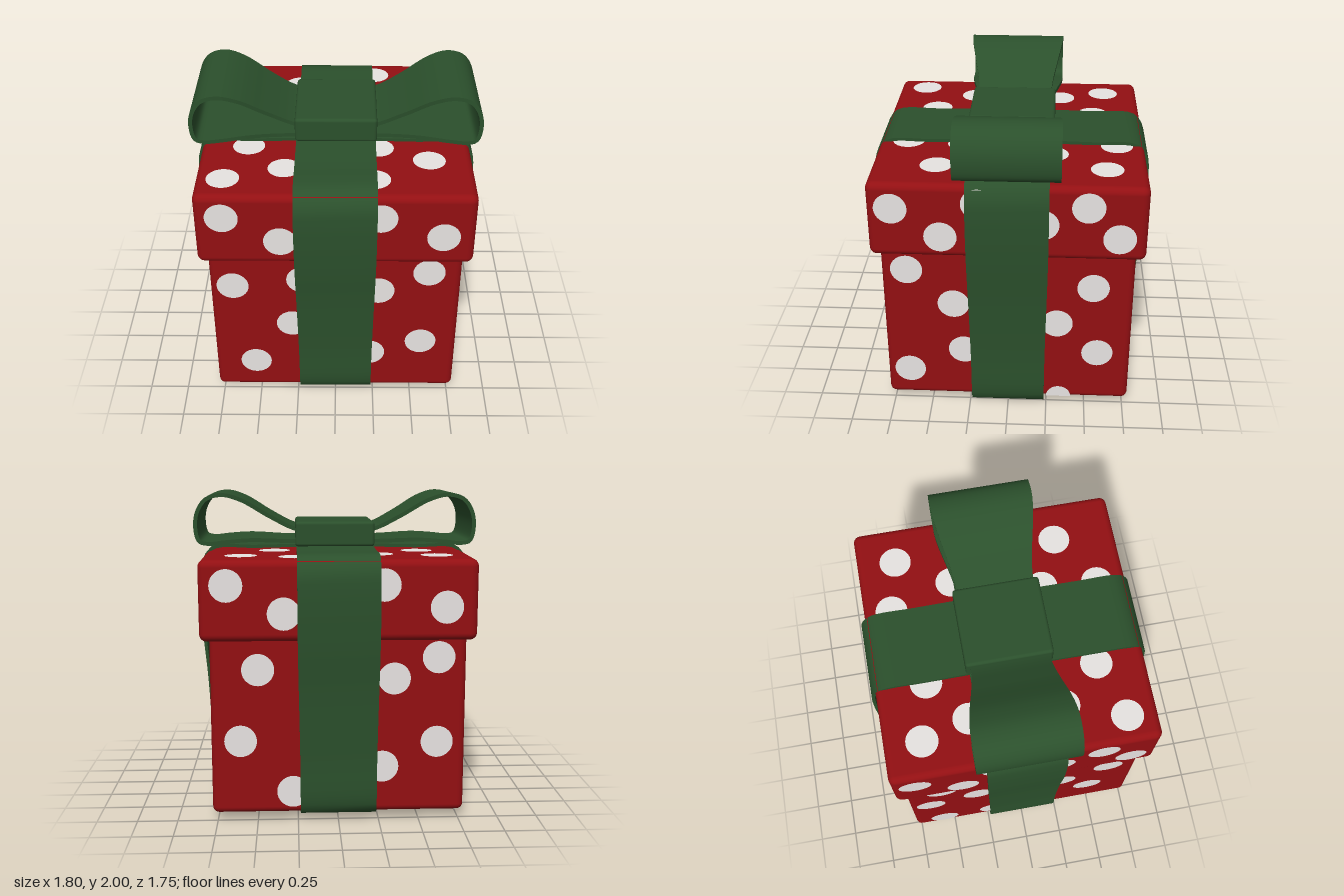
import * as THREE from 'three';
import { RoundedBoxGeometry } from 'three/addons/geometries/RoundedBoxGeometry.js';
import { toCreasedNormals } from 'three/addons/utils/BufferGeometryUtils.js';

const mat = (name, color) => {
  const m = new THREE.MeshStandardMaterial({ color });
  m.name = name;
  return m;
};

// Sweeps a flat ribbon along a counter-clockwise path in the xy plane; its width runs along z.
function ribbonGeometry(points, closed, thickness, halfWidth, steps) {
  const curve = new THREE.CatmullRomCurve3(points.map(([x, y]) => new THREE.Vector3(x, y, 0)), closed, 'centripetal');
  const positions = [], index = [];
  for (let i = 0; i <= steps; i++) {
    const p = curve.getPointAt(i / steps);
    const t = curve.getTangentAt(i / steps);
    const nx = t.y * thickness / 2, ny = -t.x * thickness / 2;
    const w = halfWidth(p.x, p.y);
    for (const [side, z] of [[1, w], [1, -w], [-1, -w], [-1, w]]) {
      positions.push(p.x + side * nx, p.y + side * ny, z);
    }
    if (i === steps) break;
    for (let k = 0; k < 4; k++) {
      const a = i * 4 + k, b = i * 4 + (k + 1) % 4;
      index.push(a, b, b + 4, a, b + 4, a + 4);
    }
  }
  const g = new THREE.BufferGeometry();
  g.setAttribute('position', new THREE.Float32BufferAttribute(positions, 3));
  g.setIndex(index);
  return toCreasedNormals(g, 0.8);
}

export function createModel() {
  const model = new THREE.Group();
  model.name = 'giftBox';
  const red = mat('red paper', 0x930f12);
  const white = mat('white dots', 0xf4f0ee);
  const green = mat('green ribbon', 0x2b502c);

  const add = (name, geometry, material, parent = model) => {
    const mesh = new THREE.Mesh(geometry, material);
    mesh.name = name;
    parent.add(mesh);
    return mesh;
  };

  // Box and lid
  add('box', new RoundedBoxGeometry(1.56, 1.15, 1.56, 4, 0.04), red).position.y = 0.625;
  add('lid', new RoundedBoxGeometry(1.67, 0.49, 1.67, 4, 0.045), red).position.y = 1.385;

  // Polka dots: each face is a group whose local xy plane lies just above the paper
  const disc = new THREE.CircleGeometry(0.1, 28);
  const dots = (name, list, distance, rotY, rotX = 0, height = 0) => {
    const face = new THREE.Group();
    face.name = name;
    face.rotation.set(rotX, rotY, 0);
    for (const [u, v] of list) add('dot', disc, white, face).position.set(u, v, distance);
    face.position.y = height;
    model.add(face);
    return face;
  };
  const Q = Math.PI / 2;
  const lidFront = [[-0.67, 1.48], [-0.33, 1.31], [0.27, 1.48], [0.645, 1.345]];
  const lidSide = [[-0.69, 1.47], [-0.4, 1.285], [-0.175, 1.51], [0.21, 1.38], [0.48, 1.5], [0.67, 1.295]];
  const LID = 0.838, BOX = 0.783;
  dots('lidFrontDots', lidFront, LID, 0);
  dots('lidBackDots', lidFront, LID, Math.PI);
  dots('lidLeftDots', lidSide, LID, Q);
  dots('lidRightDots', lidSide, LID, -Q);
  dots('boxFrontDots', [[-0.64, 0.92], [-0.205, 0.97], [-0.275, 0.61], [-0.52, 0.28],
    [0.58, 1.03], [0.27, 0.885], [0.55, 0.46], [0.22, 0.36]], BOX, 0);
  dots('boxBackDots', [[-0.49, 0.96], [-0.6, 0.515], [-0.28, 0.19], [0.34, 0.9],
    [0.605, 0.5], [0.27, 0.345], [0.61, 1.03]], BOX, Math.PI);
  const leftDots = dots('boxLeftDots', [[-0.625, 1.015], [-0.34, 0.77], [-0.28, 0.42], [-0.635, 0.255],
    [0.53, 0.91], [0.31, 0.64], [0.57, 0.42]], BOX, Q);
  add('edgeDot', new THREE.CircleGeometry(0.08, 20, 0, Math.PI), white, leftDots).position.set(0.33, 0.06, BOX);
  dots('boxRightDots', [[-0.55, 0.97], [-0.31, 0.74], [-0.64, 0.64], [-0.21, 0.2],
    [-0.57, 0.18], [0.58, 0.87], [0.47, 0.43], [0.27, 0.68]], BOX, -Q);
  // v runs towards -z on the top and towards +z underneath
  dots('lidTopDots', [[-0.61, 0.6], [-0.25, 0.52], [-0.52, 0.3], [0.26, 0.66], [0.59, 0.59], [0.39, 0.26],
    [-0.54, -0.28], [-0.31, -0.53], [-0.67, -0.645], [0.26, -0.3], [0.57, -0.44], [0.23, -0.65]], 0.003, 0, -Q, 1.63);
  dots('boxBottomDots', [[-0.65, 0.65], [-0.66, -0.52], [0.2, 0.65], [0.55, -0.3], [0.3, -0.62],
    [0.64, -0.64], [0.6, 0.36], [-0.3, 0.4], [-0.32, -0.35]], 0.003, 0, Q, 0.05);

  // Wrapped ribbons: half an outline from bottom to top, mirrored into a closed loop
  const wrapPath = (bottom, top) => {
    const half = [[0.4, bottom], [0.7, bottom], [0.775, bottom + 0.02], [0.8, bottom + 0.09], [0.806, 0.4],
      [0.825, 0.8], [0.855, 1.15], [0.861, 1.45], [0.847, 1.56], [0.785, top - 0.017], [0.5, top - 0.008]];
    const mirrored = half.map(([x, y]) => [-x, y]).reverse();
    return [[0, bottom], ...half, [0, top], ...mirrored];
  };
  const wrapWidth = (x, y) => 0.235 + 0.013 * THREE.MathUtils.smoothstep(y, 0.2, 1.3);
  add('sideRibbon', ribbonGeometry(wrapPath(0.01, 1.665), true, 0.02, wrapWidth, 160), green);
  add('frontRibbon', ribbonGeometry(wrapPath(0.04, 1.65), true, 0.02, wrapWidth, 160), green).rotation.y = Q;

  // Bow: two flared loops and the knot
  const loopPath = [[0.1, 1.69], [0.3, 1.69], [0.55, 1.7], [0.7, 1.69], [0.81, 1.68], [0.865, 1.695],
    [0.888, 1.78], [0.875, 1.88], [0.82, 1.96], [0.72, 1.987], [0.6, 1.955], [0.42, 1.85], [0.26, 1.77], [0.1, 1.74]];
  const loopWidth = (x) => 0.24 + 0.075 * THREE.MathUtils.smoothstep(x, 0.25, 0.75);
  const loop = ribbonGeometry(loopPath, false, 0.025, loopWidth, 90);
  add('leftBowLoop', loop, green);
  add('rightBowLoop', loop, green).rotation.y = Math.PI;
  add('knot', new RoundedBoxGeometry(0.51, 0.16, 0.54, 3, 0.02), green).position.y = 1.735;

  return model;
}
